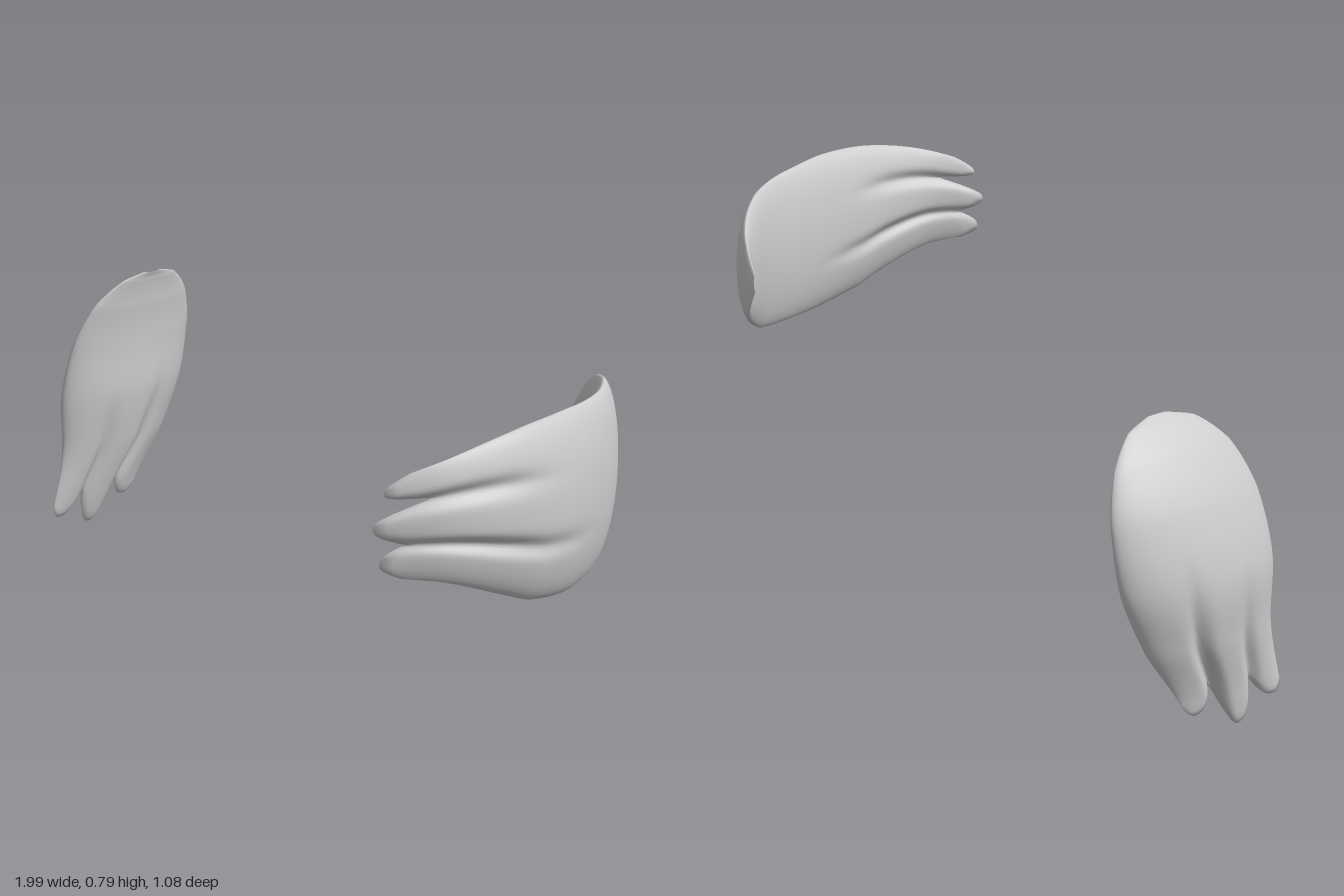
import * as THREE from 'three';
import { mergeVertices } from 'three/addons/utils/BufferGeometryUtils.js';

const material = new THREE.MeshStandardMaterial({ color: 0xcccccc });
const curve = (pts) => new THREE.CatmullRomCurve3(pts.map((p) => new THREE.Vector3(...p)), false, 'centripetal');

// How far each strand across the wing stops short of the tip.
// Entries alternate notch, finger, notch ...; fingers are rounded, notches sharp.
function tipCut(tips, v) {
  let k = 0;
  while (k < tips.length - 2 && v > tips[k + 1][0]) k++;
  const [v0, c0] = tips[k], [v1, c1] = tips[k + 1];
  let f = (v - v0) / (v1 - v0);
  f = k % 2 === 0 ? 1 - (1 - f) ** 2.4 : f ** 2.4;
  return c0 + (c1 - c0) * f;
}

// stations: [x, along, edge0, edge1, half thickness], root to tip
// place(x, along, across) puts a point into model space
function wing(name, { stations, tips, grooves, place }) {
  const spine = curve(stations.map(([x, a]) => [x, a, 0]));
  const edges = curve(stations.map(([, , lo, hi, h]) => [lo, hi, h * 4]));
  const U = 72, R = 144, pos = [], idx = [];
  for (let i = 0; i <= U; i++) {
    const u = i / U;
    for (let j = 0; j < R; j++) {
      // each ring runs across the outer face and back over the inner face
      const th = (j / R) * Math.PI * 2;
      const v = (1 - Math.cos(th)) / 2, s = Math.sin(th);
      const t = u ** 1.3 * (1 - tipCut(tips, v));
      const p = spine.getPoint(t), g = spine.getTangent(t), e = edges.getPoint(t);
      let h = (e.z / 4) * Math.sign(s) * Math.abs(s) ** 1.2 * Math.sqrt(1 - u ** 9);
      // grooves between the fingers, fading towards the root
      for (const [gv, from, depth, width] of grooves) {
        h *= 1 - depth * THREE.MathUtils.smoothstep(t, from, 0.95) * Math.exp(-(((v - gv) / width) ** 2));
      }
      pos.push(...place(p.x + g.y * h, p.y - g.x * h, e.x + (e.y - e.x) * v));
    }
  }
  for (let i = 0; i < U; i++) {
    for (let j = 0; j < R; j++) {
      const k = (j + 1) % R, a = i * R + j, b = i * R + k, c = a + R, d = b + R;
      idx.push(a, b, c, b, d, c);
    }
  }
  let geo = new THREE.BufferGeometry();
  geo.setAttribute('position', new THREE.Float32BufferAttribute(pos, 3));
  geo.setIndex(idx);
  geo = mergeVertices(geo, 1e-5);
  geo.computeVertexNormals();
  const mesh = new THREE.Mesh(geo, material);
  mesh.name = name;
  return mesh;
}

export function createModel() {
  const model = new THREE.Group();
  model.name = 'wingPair';

  // raised wing, sweeping forward
  model.add(wing('leftWing', {
    place: (x, a, w) => [x, w, a],
    stations: [
      [0.59, -0.345, 0.59, 0.63, 0.003],
      [0.63, -0.337, 0.53, 0.69, 0.012],
      [0.7, -0.29, 0.475, 0.735, 0.028],
      [0.79, -0.2, 0.42, 0.763, 0.036],
      [0.86, -0.1, 0.396, 0.772, 0.041],
      [0.902, 0, 0.389, 0.779, 0.046],
      [0.93, 0.1, 0.394, 0.787, 0.053],
      [0.941, 0.2, 0.412, 0.787, 0.054],
      [0.937, 0.3, 0.452, 0.777, 0.048],
      [0.908, 0.42, 0.498, 0.75, 0.035],
      [0.83, 0.54, 0.52, 0.705, 0.022],
    ],
    tips: [[0, 0.04], [0.12, 0.01], [0.33, 0.045], [0.53, 0], [0.72, 0.085], [0.88, 0.015], [1, 0.05]],
    grooves: [[0.33, 0.5, 0.55, 0.05], [0.72, 0.65, 0.6, 0.06]],
  }));

  // lowered wing, hanging down
  model.add(wing('rightWing', {
    place: (x, a, w) => [x, a, w],
    stations: [
      [-0.83, 0.677, -0.33, -0.38, 0.003],
      [-0.842, 0.66, -0.265, -0.44, 0.01],
      [-0.872, 0.6, -0.195, -0.503, 0.032],
      [-0.905, 0.5, -0.15, -0.536, 0.056],
      [-0.925, 0.36, -0.124, -0.524, 0.074],
      [-0.929, 0.22, -0.124, -0.462, 0.06],
      [-0.932, 0.1, -0.1, -0.378, 0.035],
      [-0.938, 0, -0.075, -0.325, 0.02],
    ],
    tips: [[0, 0.09], [0.1, 0.052], [0.31, 0.135], [0.56, 0], [0.68, 0.165], [0.92, 0.075], [1, 0.11]],
    grooves: [[0.31, 0.55, 0.55, 0.06], [0.68, 0.5, 0.6, 0.06]],
  }));

  return model;
}
